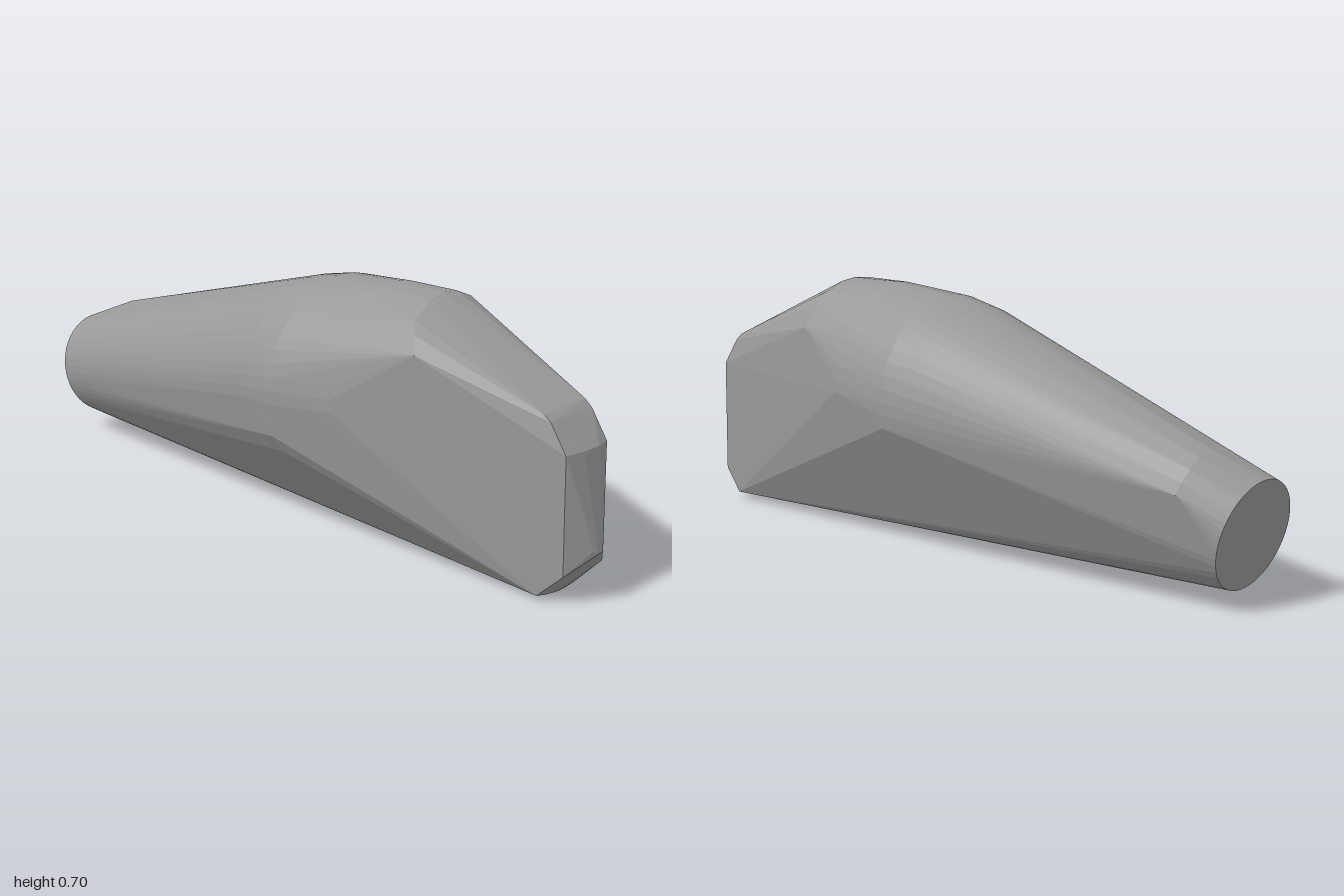
import * as THREE from 'three';
import { ConvexGeometry } from 'three/addons/geometries/ConvexGeometry.js';

const V = (x, y, z) => new THREE.Vector3(x, y, z);

// Arc of points around (cx, cy); zAt gives the depth for each angle in degrees.
function arc(cx, cy, rx, ry, from, to, steps, zAt) {
  return Array.from({ length: steps + 1 }, (_, i) => {
    const a = THREE.MathUtils.degToRad(from + (to - from) * i / steps);
    const c = Math.cos(a), s = Math.sin(a);
    return V(cx + rx * c, cy + ry * s, zAt(c, s));
  });
}

export function createModel() {
  const grey = new THREE.MeshStandardMaterial({ color: 0x999999 });
  grey.name = 'grey';

  const points = [
    // tilted round tail end
    ...arc(0.06, 0.185, 0.15, 0.145, 0, 352.5, 47, (c, s) => -0.965 - 0.035 * s),
    // shoulder just before the tail end
    V(0.24, 0.3, -0.86), V(0.225, 0.33, -0.865), V(0.2, 0.36, -0.87),
    V(0.16, 0.383, -0.87), V(0.1, 0.39, -0.87),
    // rounded body rings
    ...arc(0, 0.4, 0.268, 0.255, -10, 200, 30, () => 0),
    ...arc(-0.002, 0.4, 0.277, 0.278, -12, 215, 30, () => 0.1),
    ...arc(-0.002, 0.415, 0.25, 0.28, 0, 200, 26, () => 0.3),
    // lower left flank
    V(-0.265, 0.285, 0.1), V(-0.24, 0.24, 0.12),
    // rim of the sloping front facet
    V(-0.2, 0.59, 0.54), V(-0.17, 0.63, 0.515), V(-0.14, 0.657, 0.49),
    V(-0.05, 0.69, 0.46), V(0.01, 0.696, 0.455), V(0.06, 0.69, 0.455),
    V(0.11, 0.667, 0.46), V(0.15, 0.63, 0.465), V(0.19, 0.57, 0.475),
    // brow and front strip of the nose
    V(-0.1, 0.49, 0.88), V(0.06, 0.495, 0.88),
    V(-0.1, 0.475, 0.9), V(0.063, 0.475, 0.9),
    V(-0.1, 0.4, 0.95), V(0.063, 0.4, 0.95), V(-0.04, 0.4, 0.96), V(0.02, 0.4, 0.96),
    // chin
    V(-0.033, 0.145, 0.995), V(-0.02, 0.135, 1), V(-0.003, 0.135, 1), V(0.005, 0.145, 0.995),
    V(-0.095, 0.08, 0.95), V(0.064, 0.08, 0.95),
    // curved bottom edge
    V(-0.11, 0.015, 0.88), V(-0.07, 0.006, 0.88), V(-0.015, 0, 0.88),
    V(0.04, 0.006, 0.88), V(0.082, 0.018, 0.88),
  ];

  const body = new THREE.Mesh(new ConvexGeometry(points), grey);
  body.name = 'body';
  const group = new THREE.Group();
  group.name = 'facetedBody';
  group.add(body);
  return group;
}
